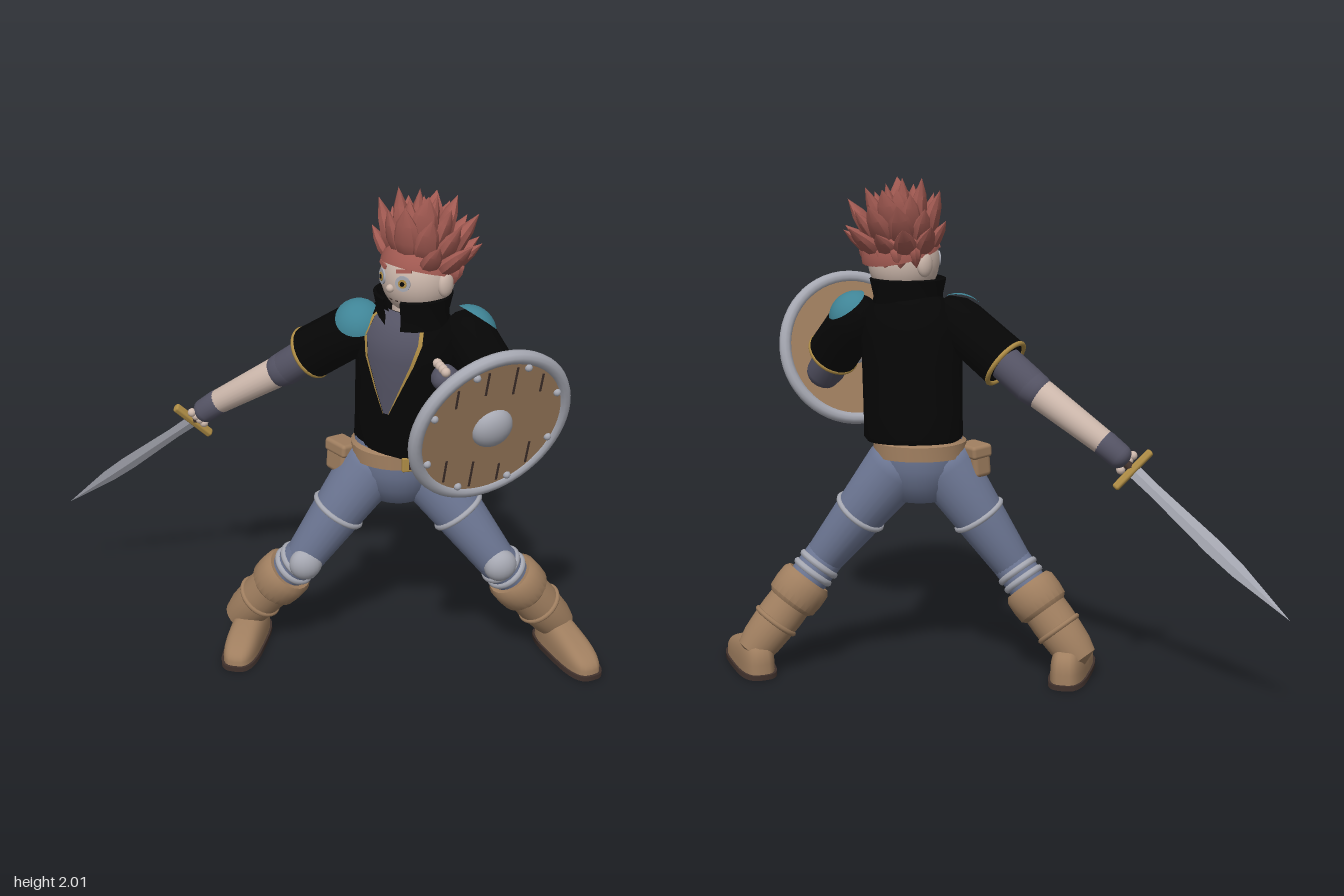
import * as THREE from 'three';
import { toCreasedNormals } from 'three/addons/utils/BufferGeometryUtils.js';
import { RoundedBoxGeometry } from 'three/addons/geometries/RoundedBoxGeometry.js';

const UP = new THREE.Vector3(0, 1, 0);
const V = (p) => new THREE.Vector3(...p);
const mix = (a, b, t) => a.map((v, i) => v + (b[i] - v) * t);

export function createModel() {
  const root = new THREE.Group();
  const mat = (name, color, opt = {}) => new THREE.MeshStandardMaterial({ name, color, ...opt });
  const skin = mat('skin', 0xcdb8ac), hair = mat('hair', 0xa25a52), black = mat('black cloth', 0x060606, { side: THREE.DoubleSide });
  const teal = mat('teal', 0x3f8496), leather = mat('leather', 0x9f7e5f), blue = mat('blue cloth', 0x6c7693);
  const steel = mat('steel', 0xa6a8b2), gold = mat('gold', 0xae8c45), dark = mat('dark brown', 0x40312c), slate = mat('slate cloth', 0x545364);

  const add = (name, geo, m, pos = [0, 0, 0], parent = root) => {
    const mesh = new THREE.Mesh(geo, m);
    mesh.name = name;
    mesh.position.set(...pos);
    parent.add(mesh);
    return mesh;
  };
  const group = (name, pos, yaw = 0) => {
    const g = new THREE.Group();
    g.name = name; g.position.set(...pos); g.rotation.y = yaw;
    root.add(g);
    return g;
  };
  const aim = (obj, dir, from = UP) => (obj.quaternion.setFromUnitVectors(from, V(dir).normalize()), obj);
  const dirOf = (a, b) => b.map((v, i) => v - a[i]);
  // Turned shape between two points; profile is [radius, fraction]
  const along = (name, m, a, b, profile, seg = 24) => {
    const len = V(a).distanceTo(V(b));
    const pts = profile.map(([r, t]) => new THREE.Vector2(r, t * len));
    return aim(add(name, toCreasedNormals(new THREE.LatheGeometry(pts, seg), 0.7), m, a), dirOf(a, b));
  };
  const limb = (name, m, a, b, ra, rb) => {
    const len = V(a).distanceTo(V(b)), p = [];
    for (let i = 0; i <= 5; i++) { const q = i * Math.PI / 10; p.push([ra * Math.sin(q), -ra * 0.8 * Math.cos(q) / len]); }
    for (let i = 0; i <= 5; i++) { const q = i * Math.PI / 10; p.push([rb * Math.cos(q), 1 + rb * 0.8 * Math.sin(q) / len]); }
    return along(name, m, a, b, p);
  };
  const ring = (name, m, pos, dir, r, tube) =>
    aim(add(name, new THREE.TorusGeometry(r, tube, 8, 32), m, pos), dir, new THREE.Vector3(0, 0, 1));

  // Torso: jacket, V-shaped open shirt front and gold edges
  const torso = group('torso', [0.245, 0.97, 0.105], -0.75);
  const lean = aim(new THREE.Group(), [0.05, 1, 0.06]);
  torso.add(lean);
  const profile = [[0.19, 0], [0.206, 0.02], [0.205, 0.12], [0.206, 0.2], [0.207, 0.3], [0.21, 0.42], [0.195, 0.5], [0.15, 0.56], [0.1, 0.59]];
  const wrap = (name, m, grow, start, length, opening) => {
    const pts = profile.slice(opening ? 3 : 0).map(([r, y]) => new THREE.Vector2(r + grow, y));
    const geo = new THREE.LatheGeometry(pts, 40, start, length), p = geo.attributes.position;
    for (let i = 0; i < p.count; i++) {
      const x = p.getX(i), z = p.getZ(i), r = Math.hypot(x, z);
      const a = Math.atan2(x, z) * (opening ? (p.getY(i) - 0.17) * 2.8 : 1);
      p.setXYZ(i, r * Math.sin(a), p.getY(i), r * Math.cos(a) * 0.86);
    }
    geo.computeVertexNormals();
    return add(name, geo, m, [0, 0, 0], lean);
  };
  wrap('jacket', black, 0, 0, Math.PI * 2, false);
  wrap('shirtFront', slate, 0.004, -0.62, 1.24, true);
  for (const s of [-1, 1]) wrap('jacketEdge', gold, 0.007, s * 0.65 - 0.045, 0.09, true);

  // Neck and standing collar, open at the front
  limb('neck', skin, [0.25, 1.48, 0.16], [0.26, 1.6, 0.17], 0.085, 0.085);
  const collar = group('collar', [0.25, 1.5, 0.165], -0.9);
  const collarPts = [[0.14, 0], [0.138, 0.05], [0.152, 0.115], [0.14, 0.12], [0.12, 0.06]].map((p) => new THREE.Vector2(...p));
  add('collarBand', toCreasedNormals(new THREE.LatheGeometry(collarPts, 36, 0.25, Math.PI * 2 - 0.5), 0.7), black, [0, 0, 0], collar);

  // Head
  const head = group('head', [0.265, 1.685, 0.172], -1.12);
  add('skull', new THREE.SphereGeometry(1, 32, 24), skin, [0, 0, 0], head).scale.set(0.142, 0.155, 0.142);
  add('nose', new THREE.SphereGeometry(0.016, 12, 8), skin, [0, -0.025, 0.142], head);
  for (const s of [-1, 1]) {
    add('ear', new THREE.SphereGeometry(1, 16, 12), skin, [s * 0.143, -0.005, -0.005], head).scale.set(0.022, 0.05, 0.035);
    const eye = aim(add('eye', new THREE.CylinderGeometry(0.03, 0.03, 0.006, 20), steel, [s * 0.056, 0.005, 0.131], head), [s * 0.4, 0.03, 0.92]);
    add('iris', new THREE.CylinderGeometry(0.017, 0.017, 0.006, 16), gold, [0, 0.003, 0], eye);
    add('pupil', new THREE.CylinderGeometry(0.009, 0.009, 0.006, 12), black, [0, 0.005, 0], eye);
    const brow = add('eyebrow', new THREE.BoxGeometry(0.06, 0.014, 0.009), hair, [s * 0.056, 0.052, 0.127], head);
    brow.rotation.set(-0.3, s * 0.4, s * 0.25);
  }
  const mouth = add('mouth', new THREE.BoxGeometry(0.045, 0.006, 0.006), dark, [0, -0.075, 0.12], head);
  mouth.rotation.x = 0.5;

  // Hair: cap plus rows of broad leaf-shaped tufts swept up and back
  const cap = add('hairCap', new THREE.SphereGeometry(0.157, 28, 14, 0, Math.PI * 2, 0, 1.5), hair, [0, 0.015, -0.012], head);
  cap.rotation.x = -0.25;
  const leaf = new THREE.LatheGeometry([[0, -0.05], [0.045, 0], [0.058, 0.05], [0.042, 0.12], [0, 0.19]].map((p) => new THREE.Vector2(...p)), 8);
  leaf.scale(1, 1, 0.6);
  const tuftGeo = toCreasedNormals(leaf, 0.7);
  [[0.15, 12, 0.5, 0.85], [0.5, 10, 0.65, 0.95], [0.9, 7, 0.8, 0.95], [1.3, 4, 1, 0.85]].forEach(([el, n, lift, size], row) => {
    for (let i = 0; i < n; i++) {
      const a = (i + row * 0.5) / n * Math.PI * 2, front = Math.cos(a);
      if (row === 0 && front > 0.6) continue;
      const e = el + (front > 0 ? 0.25 * front : 0);
      const d = [Math.cos(e) * Math.sin(a), Math.sin(e), Math.cos(e) * front];
      const tuft = add('hairTuft', tuftGeo, hair, [d[0] * 0.125, 0.02 + d[1] * 0.135, d[2] * 0.125 - 0.005], head);
      aim(tuft, [d[0] * 0.6, d[1] * 0.6 + lift, d[2] * 0.6 - 0.2]).rotateY(a);
      tuft.scale.setScalar(size * (0.94 + 0.12 * Math.sin(i * 2.4 + row)));
    }
  });
  for (let i = -3; i <= 3; i++) {
    const a = Math.PI + i * 0.42;
    const tuft = add('napeTuft', tuftGeo, hair, [0.128 * Math.sin(a), 0.06, 0.128 * Math.cos(a)], head);
    aim(tuft, [0.3 * Math.sin(a), -1, 0.3 * Math.cos(a)]).scale.set(0.95, 0.42, 0.8);
  }

  // Arms: sleeve, cuff, under-sleeve, forearm, glove
  const arms = [
    { side: 'right', sh: [0.07, 1.45, 0.06], cuff: [-0.085, 1.3, -0.09], elbow: [-0.165, 1.22, -0.155], mid: [-0.19, 1.2, -0.175], wrist: [-0.41, 1.02, -0.34], hand: [-0.465, 0.97, -0.375], patch: [-0.3, 0.8, 0.6] },
    { side: 'left', sh: [0.445, 1.45, 0.24], cuff: [0.52, 1.29, 0.385], elbow: [0.55, 1.2, 0.455], mid: [0.52, 1.215, 0.468], wrist: [0.285, 1.385, 0.56], hand: [0.24, 1.43, 0.57], patch: [0.6, 0.8, -0.15] },
  ];
  for (const { side, sh, cuff, elbow, mid, wrist, hand, patch } of arms) {
    along(side + 'Sleeve', black, sh, cuff, [[0, -0.42], [0.06, -0.34], [0.093, -0.12], [0.103, 0.1], [0.104, 0.5], [0.106, 1], [0, 1]]);
    ring(side + 'Cuff', gold, cuff, dirOf(sh, cuff), 0.1, 0.01);
    aim(add(side + 'ShoulderPatch', new THREE.SphereGeometry(0.112, 24, 10, 0, Math.PI * 2, 0, 0.88), teal, sh), patch);
    limb(side + 'UnderSleeve', slate, cuff, elbow, 0.07, 0.071);
    limb(side + 'Elbow', slate, elbow, mid, 0.071, 0.067);
    limb(side + 'Forearm', skin, mid, wrist, 0.063, 0.05);
    limb(side + 'Glove', slate, mix(mid, wrist, 1.02), hand, 0.052, 0.05);
    // Finger tips curl around the grip
    const d = V(dirOf(wrist, hand)).normalize(), across = new THREE.Vector3(0.7, -0.7, 0).addScaledVector(d, -d.dot(V([0.7, -0.7, 0]))).normalize();
    const out = new THREE.Vector3().crossVectors(d, across).normalize();
    for (let i = 0; i < 4; i++) {
      const p = V(hand).addScaledVector(across, (i - 1.5) * 0.024).addScaledVector(d, 0.035).addScaledVector(out, 0.02);
      add(side + 'Finger', new THREE.SphereGeometry(0.018, 12, 8), skin, p.toArray());
    }
  }

  // Sword: local y runs to the tip, x along the guard
  const sword = group('sword', [-0.51, 0.92, -0.4]);
  const sy = V([-0.49, -0.515, -0.41]).normalize(), sx = V([0.707, -0.707, 0]);
  sx.addScaledVector(sy, -sx.dot(sy)).normalize();
  sword.quaternion.setFromRotationMatrix(new THREE.Matrix4().makeBasis(sx, sy, new THREE.Vector3().crossVectors(sx, sy)));
  const bladePts = [[0.028, 0], [0.026, 0.12], [0.034, 0.42], [0.03, 0.55], [0, 0.82]].map((p) => new THREE.Vector2(...p));
  const blade = new THREE.LatheGeometry(bladePts, 4, Math.PI / 2);
  blade.scale(1, 1, 0.25);
  add('blade', toCreasedNormals(blade, 0.2), steel, [0, 0, 0], sword);
  add('guard', new RoundedBoxGeometry(0.2, 0.03, 0.035, 2, 0.01), gold, [0, 0, 0], sword);
  add('grip', new THREE.CylinderGeometry(0.017, 0.017, 0.16, 14), dark, [0, -0.08, 0], sword);
  add('pommel', new THREE.SphereGeometry(0.026, 14, 10), gold, [0, -0.17, 0], sword);

  // Shield
  const shield = aim(group('shield', [0.387, 1.265, 0.674]), [0.18, -0.28, 1], new THREE.Vector3(0, 0, 1));
  const board = new THREE.CylinderGeometry(0.305, 0.305, 0.03, 48).rotateX(Math.PI / 2);
  add('shieldBoard', board, leather, [0, 0, 0], shield);
  add('shieldRim', new THREE.TorusGeometry(0.304, 0.026, 10, 56), steel, [0, 0, 0], shield);
  add('shieldBoss', new THREE.SphereGeometry(0.082, 28, 14), steel, [0, 0, 0.01], shield).scale.z = 0.65;
  for (let i = 0; i < 8; i++) {
    const a = (i + 0.5) * Math.PI / 4;
    add('rivet', new THREE.SphereGeometry(0.015, 10, 8), steel, [0.272 * Math.cos(a), 0.272 * Math.sin(a), 0.016], shield);
  }
  [-0.17, -0.055, 0.06, 0.175].forEach((x, i) => {
    for (const s of [-1, 1]) {
      const len = 0.08 + 0.02 * ((i + s + 2) % 3);
      add('boardCrack', new THREE.BoxGeometry(0.008, len, 0.004), dark, [x, s * (Math.sqrt(0.078 - x * x) - len / 2 - 0.01), 0.016], shield);
    }
  });
  for (const x of [-0.12, 0.06]) {
    add('shieldStrap', new RoundedBoxGeometry(0.055, 0.2, 0.016, 2, 0.006), leather, [x, 0, -0.075], shield);
    for (const s of [-1, 1]) add('strapEnd', new THREE.BoxGeometry(0.055, 0.016, 0.07), leather, [x, s * 0.092, -0.045], shield);
  }

  // Hips, belt and pouch
  const hips = group('hips', [0.22, 0, 0.1], -0.3);
  const hipPts = [[0, 0.725], [0.1, 0.73], [0.15, 0.8], [0.175, 0.87], [0.178, 0.94], [0.17, 1.0]].map((p) => new THREE.Vector2(...p));
  add('pelvis', new THREE.LatheGeometry(hipPts, 32), blue, [0, 0, 0], hips).scale.z = 0.88;
  const beltPts = [[0.17, 0.912], [0.188, 0.915], [0.187, 0.972], [0.17, 0.985]].map((p) => new THREE.Vector2(...p));
  add('belt', toCreasedNormals(new THREE.LatheGeometry(beltPts, 36), 0.6), leather, [0, 0, 0], hips).scale.z = 0.9;
  const buckle = add('buckle', new RoundedBoxGeometry(0.062, 0.06, 0.02, 2, 0.006), gold, [0.045, 0.944, 0.17], hips);
  buckle.rotation.y = 0.25;
  add('bucklePin', new THREE.BoxGeometry(0.008, 0.036, 0.006), dark, [0, 0, 0.011], buckle);
  const pouch = add('pouch', new RoundedBoxGeometry(0.085, 0.12, 0.115, 3, 0.02), leather, [0.01, 0.89, 0.03]);
  add('pouchFlap', new RoundedBoxGeometry(0.095, 0.055, 0.125, 2, 0.015), leather, [0, 0.045, 0], pouch);
  pouch.rotation.set(0, 0.4, -0.08);

  // Legs and boots
  const legs = [
    { side: 'right', hip: [0.12, 0.86, 0.07], knee: [-0.14, 0.46, 0.02], ankle: [-0.36, 0.12, -0.17], pad: [-0.155, 0.45, 0.075], foot: [-0.37, 0, -0.09], yaw: -0.48 },
    { side: 'left', hip: [0.315, 0.86, 0.115], knee: [0.585, 0.47, 0.265], ankle: [0.875, 0.12, 0.235], pad: [0.59, 0.465, 0.32], foot: [0.897, 0, 0.335], yaw: 0.15 },
  ];
  const round = (v) => Math.sign(v) * Math.abs(v) ** 0.65;
  for (const { side, hip, knee, ankle, pad, foot, yaw } of legs) {
    limb(side + 'Thigh', blue, hip, knee, 0.128, 0.082);
    ring(side + 'ThighBand', steel, mix(hip, knee, 0.5), dirOf(hip, knee), 0.104, 0.012);
    limb(side + 'Knee', blue, knee, mix(knee, ankle, 0.3), 0.082, 0.08);
    add(side + 'KneePad', new THREE.SphereGeometry(0.068, 20, 14), steel, pad).scale.z = 0.75;
    for (const t of [0.1, 0.19]) ring(side + 'KneeWrap', steel, mix(knee, ankle, t), dirOf(knee, ankle), 0.077, 0.015);
    along(side + 'BootCuff', leather, knee, ankle, [[0.06, 0.26], [0.097, 0.25], [0.11, 0.29], [0.112, 0.4], [0.108, 0.5], [0.09, 0.54], [0.06, 0.54]]);
    along(side + 'BootShaft', leather, knee, ankle, [[0.09, 0.45], [0.092, 0.65], [0.089, 0.8], [0.084, 0.95], [0.07, 1.08], [0, 1.14]]);
    ring(side + 'BootStrap', leather, mix(knee, ankle, 0.74), dirOf(knee, ankle), 0.089, 0.011);
    const f = group(side + 'Foot', foot, yaw);
    const upper = new THREE.SphereGeometry(1, 28, 12, 0, Math.PI * 2, 0, Math.PI / 2), p = upper.attributes.position;
    for (let i = 0; i < p.count; i++) {
      const z = round(p.getZ(i));
      p.setXYZ(i, round(p.getX(i)) * 0.072, 0.018 + round(p.getY(i)) * (0.115 - 0.045 * z), z * 0.202);
    }
    upper.computeVertexNormals();
    add(side + 'BootUpper', upper, leather, [0, 0, 0], f);
    const sole = new THREE.CylinderGeometry(1, 1, 0.02, 32), q = sole.attributes.position;
    for (let i = 0; i < q.count; i++) q.setXYZ(i, round(q.getX(i)) * 0.08, q.getY(i) + 0.01, round(q.getZ(i)) * 0.213);
    add(side + 'Sole', sole, dark, [0, 0, 0], f);
  }
  return root;
}
